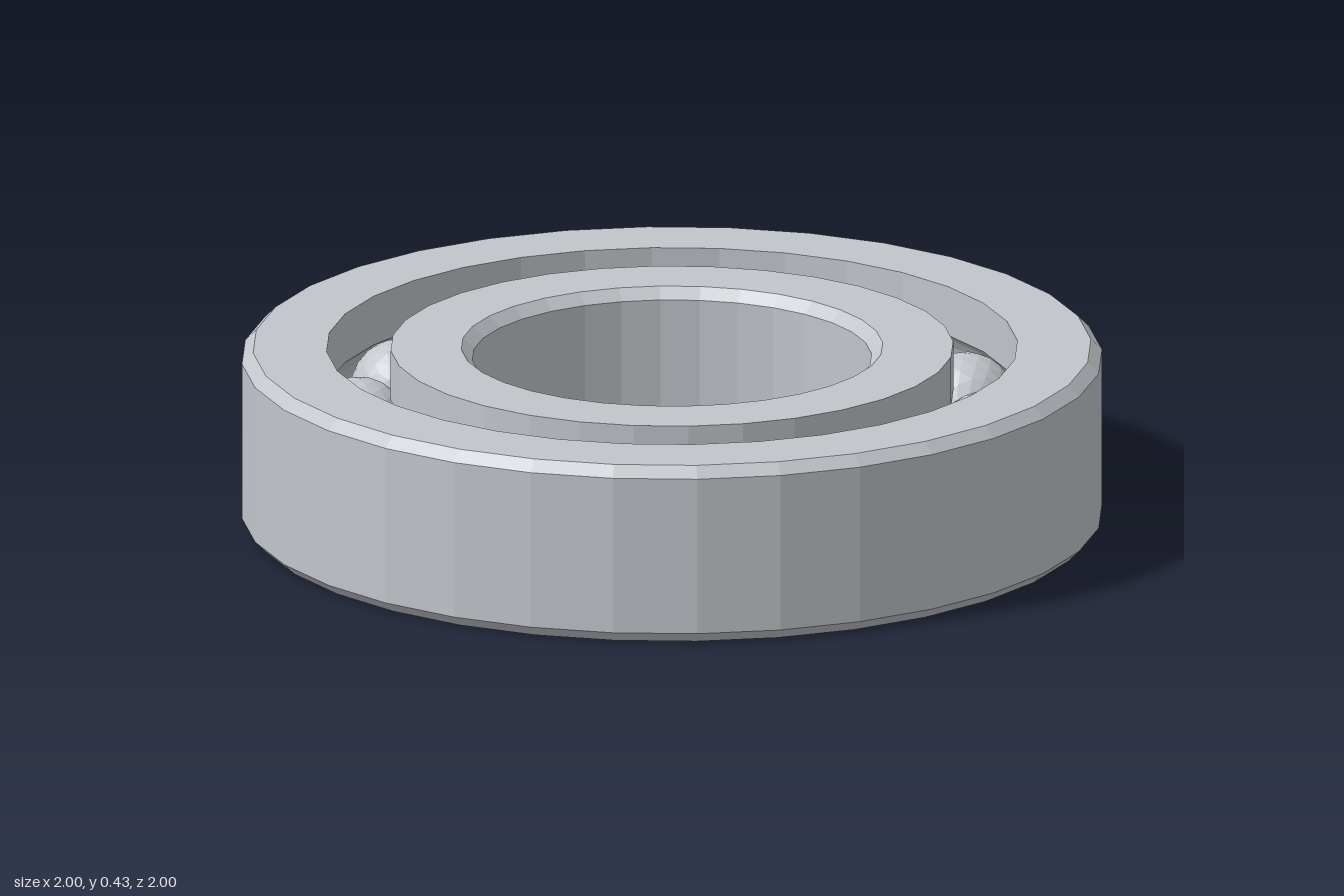
import * as THREE from 'three';

const HEIGHT = 0.426, MID = HEIGHT / 2;
const CHAMFER = 0.026;
const SIDES = 32;
const BALLS = 14, PITCH = 0.73, BALL_R = 0.117, GROOVE_R = 0.12;

// Faceted copy of a geometry
function faceted(geometry) {
  const g = geometry.index ? geometry.toNonIndexed() : geometry;
  g.computeVertexNormals();
  return g;
}

// Round groove cut into a race; side is -1 for the inner race, +1 for the outer.
// Points run upwards for the inner race and downwards for the outer one.
function groove(landRadius, side) {
  const half = Math.acos(Math.abs(PITCH - landRadius) / GROOVE_R);
  const points = [];
  for (let i = 0; i <= 8; i++) {
    const a = half * (i / 4 - 1);
    points.push([PITCH + side * GROOVE_R * Math.cos(a), MID - side * GROOVE_R * Math.sin(a)]);
  }
  return points;
}

// Closed counterclockwise [radius, height] profile turned around the axis
function race(name, profile, material) {
  const points = [...profile, profile[0]].map(([r, y]) => new THREE.Vector2(r, y));
  const mesh = new THREE.Mesh(faceted(new THREE.LatheGeometry(points, SIDES)), material);
  mesh.name = name;
  return mesh;
}

export function createModel() {
  const group = new THREE.Group();
  group.name = 'ballBearing';
  const steel = new THREE.MeshStandardMaterial({ color: 0xc2c5cb });
  steel.name = 'steel';

  // Outer race: chamfered outside, groove inside
  const outerLand = 0.803;
  group.add(race('outerRace', [
    [outerLand, 0], [1 - CHAMFER, 0], [1, CHAMFER],
    [1, HEIGHT - CHAMFER], [1 - CHAMFER, HEIGHT], [outerLand, HEIGHT],
    ...groove(outerLand, 1),
  ], steel));

  // Inner race: groove outside, chamfered bore
  const innerLand = 0.654, bore = 0.464;
  group.add(race('innerRace', [
    [bore + CHAMFER, 0], [innerLand, 0],
    ...groove(innerLand, -1),
    [innerLand, HEIGHT], [bore + CHAMFER, HEIGHT],
    [bore, HEIGHT - CHAMFER], [bore, CHAMFER],
  ], steel));

  // Ring of balls
  const balls = new THREE.Group();
  balls.name = 'balls';
  const ballGeometry = faceted(new THREE.IcosahedronGeometry(BALL_R, 3));
  for (let i = 0; i < BALLS; i++) {
    const a = (i / BALLS) * Math.PI * 2;
    const ball = new THREE.Mesh(ballGeometry, steel);
    ball.name = 'ball';
    ball.position.set(PITCH * Math.cos(a), MID, PITCH * Math.sin(a));
    ball.rotation.y = -a;
    balls.add(ball);
  }
  group.add(balls);
  return group;
}
